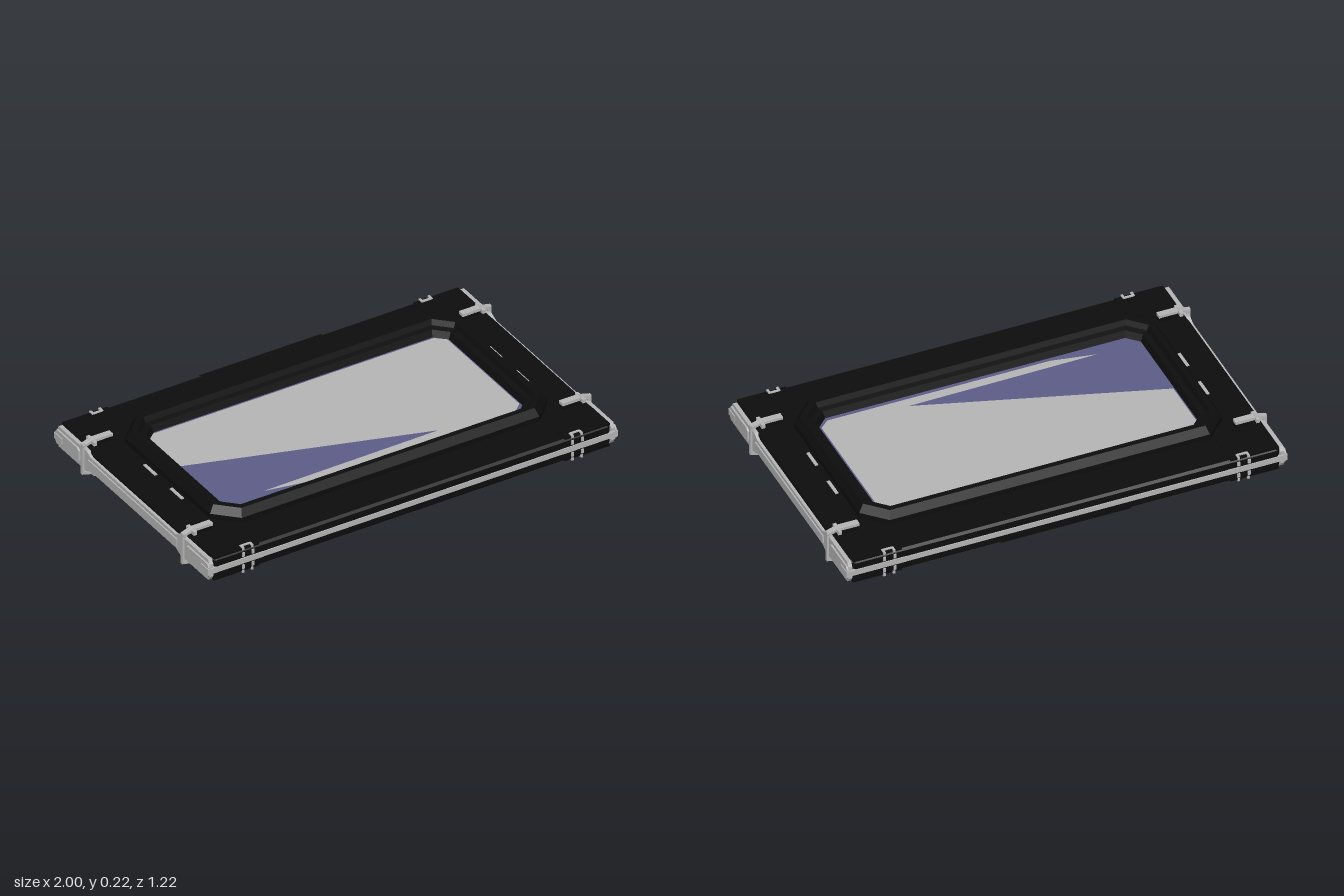
import * as THREE from 'three';

const mat = (name, color, side = THREE.FrontSide) => {
  const m = new THREE.MeshStandardMaterial({ color, side });
  m.name = name;
  return m;
};

const MID = 0.112; // height of the horizontal mirror plane

// Outline of a rectangle with cut corners, as eight [x, z] points
function octagon(hx, hz, c) {
  return [[hx, hz - c], [hx - c, hz], [c - hx, hz], [-hx, hz - c],
    [-hx, c - hz], [c - hx, -hz], [hx - c, -hz], [hx, c - hz]];
}

// Closed frame lofted through rings of [halfX, halfZ, cornerCut, y], inner to outer over the top
function frameGeometry(rings) {
  const pos = [];
  const loops = rings.map(([hx, hz, c, y]) => octagon(hx, hz, c).map(([x, z]) => [x, y, z]));
  loops.forEach((a, i) => {
    const b = loops[(i + 1) % loops.length];
    for (let k = 0; k < 8; k++) {
      const n = (k + 1) % 8;
      pos.push(...a[k], ...a[n], ...b[n], ...a[k], ...b[n], ...b[k]);
    }
  });
  const g = new THREE.BufferGeometry();
  g.setAttribute('position', new THREE.Float32BufferAttribute(pos, 3));
  g.computeVertexNormals();
  return g;
}

export function createModel() {
  const root = new THREE.Group();
  root.name = 'framedPanel';
  const black = mat('black casing', 0x0d0d0d, THREE.DoubleSide);
  const grey = mat('grey metal', 0xb6b6b6, THREE.DoubleSide);
  const blue = mat('slate blue glass', 0x5c5c88, THREE.DoubleSide);

  const add = (name, geo, material, x = 0, y = 0, z = 0) => {
    const m = new THREE.Mesh(geo, material);
    m.name = name;
    m.position.set(x, y, z);
    root.add(m);
    return m;
  };
  const box = (name, material, w, h, d, x, y, z) =>
    add(name, new THREE.BoxGeometry(w, h, d), material, x, y, z);
  // Flat horizontal polygon from [x, z] points
  const flat = (name, material, pts, y) => {
    const s = new THREE.Shape(pts.map(([x, z]) => new THREE.Vector2(x, -z)));
    return add(name, new THREE.ShapeGeometry(s).rotateX(-Math.PI / 2), material, 0, y, 0);
  };
  // Plate in the side (z, y) plane, extruded outwards along x
  const sidePlate = (name, material, pts, depth, x, sx) => {
    const s = new THREE.Shape(pts.map(([z, y]) => new THREE.Vector2(z, y)));
    const g = new THREE.ExtrudeGeometry(s, { depth, bevelEnabled: false }).rotateY(-Math.PI / 2);
    return add(name, g, material, sx > 0 ? x + depth : -x, MID, 0);
  };

  // Raised bevelled rim around the window
  const rim = [[0, 0.165], [0.012, 0.195], [0.035, 0.2], [0.045, 0.224], [0.07, 0.224], [0.092, 0.19],
    [0.092, 0.034], [0.07, 0], [0.045, 0], [0.035, 0.024], [0.012, 0.029], [0, 0.059]];
  add('windowRim', frameGeometry(rim.map(([d, y]) => [0.73 + d, 0.34 + d, 0.05 + d * 0.5, y])), black);

  // Thinner outer casing
  add('outerCasing', frameGeometry([
    [0.79, 0.4, 0.07, 0.165], [0.965, 0.595, 0.02, 0.165], [0.975, 0.605, 0.02, 0.155],
    [0.975, 0.605, 0.02, 0.07], [0.965, 0.595, 0.02, 0.059], [0.79, 0.4, 0.07, 0.059],
  ]), black);

  // Window: blue glass bordering grey panes on both faces
  flat('glassTop', blue, octagon(0.73, 0.34, 0.05), 0.165);
  flat('glassBottom', blue, octagon(0.73, 0.34, 0.05), 0.059);
  flat('paneTop', grey, [[-0.723, -0.06], [-0.723, -0.3], [-0.69, -0.328], [0.68, -0.328], [0.722, -0.29],
    [0.722, 0.28], [0.68, 0.318], [-0.33, 0.318], [-0.53, 0.28], [0.33, 0.272]], 0.169);
  flat('paneBottom', grey, octagon(0.727, 0.335, 0.05), 0.055);

  // Thin strips along the front and back edges
  for (const sz of [1, -1]) box('edgeStrip', grey, 1.96, 0.024, 0.012, 0, MID, sz * 0.604);

  // Shallow trapezoid plates at the back edge
  for (const sy of [1, -1]) {
    flat('backPlate', black, [[-0.3, -0.6], [0.3, -0.6], [0.23, -0.5], [-0.23, -0.5]], MID + sy * 0.057);
  }

  for (const sx of [1, -1]) {
    // Side rail: slim in the middle, flaring at both ends
    const half = [[0.602, 0.03], [0.59, 0.05], [0.43, 0.05], [0.37, 0.05], [0.335, 0.033]];
    const upper = [...half, ...half.map(([z, y]) => [-z, y]).reverse()];
    const outline = [...upper, ...upper.map(([z, y]) => [z, -y]).reverse()];
    sidePlate('sideRail', grey, outline, 0.018, 0.97, sx);
    box('railRidge', grey, 0.006, 0.036, 0.7, sx * 0.991, MID, 0);

    for (const sz of [1, -1]) {
      // Corner block with its end tab
      const block = [[0.42, 0.024], [0.435, 0.034], [0.595, 0.034], [0.605, 0.02],
        [0.605, -0.02], [0.595, -0.034], [0.435, -0.034], [0.42, -0.024]];
      sidePlate('cornerBlock', grey, block.map(([z, y]) => [z * sz, y]), 0.008, 0.988, sx);
      box('cornerTab', grey, 0.014, 0.028, 0.062, sx * 0.993, MID, sz * 0.579);
      box('cornerStrip', grey, 0.26, 0.026, 0.014, sx * 0.86, MID, sz * 0.603);

      // Clamp gripping the side edge
      box('clampCore', black, 0.1, 0.146, 0.03, sx * 0.905, MID, sz * 0.395);
      box('clampBar', grey, 0.018, 0.15, 0.016, sx * 0.989, MID, sz * 0.395);

      for (const sy of [1, -1]) {
        const y = (d) => MID + sy * d;
        box('clampArm', grey, 0.095, 0.014, 0.03, sx * 0.9, y(0.078), sz * 0.395);
        box('clampCollar', grey, 0.016, 0.018, 0.062, sx * 0.948, y(0.074), sz * 0.395);
        const slope = box('clampSlope', grey, 0.055, 0.012, 0.026, sx * 0.967, y(0.073), sz * 0.395);
        slope.rotation.z = -sx * sy * 0.3;

        // Corner pads of the casing
        box('cornerPad', black, 0.22, 0.01, 0.15, sx * 0.855, y(0.052), sz * 0.525);

        // U-shaped catch at the front and back edges
        box('catchBridge', grey, 0.04, 0.012, 0.01, sx * 0.803, y(0.056), sz * 0.584);
        for (const e of [1, -1]) {
          box('catchLeg', grey, 0.01, 0.012, 0.026, sx * 0.803 + e * 0.022, y(0.056), sz * 0.593);
          box('catchFoot', grey, 0.012, 0.02, 0.008, sx * 0.803 + e * 0.024, y(0.03), sz * 0.606);
        }

        // Light slits beside the window
        box('lightSlit', grey, 0.014, 0.006, 0.092, sx * 0.841, y(0.054), sz * 0.105);
      }
    }
  }
  return root;
}
